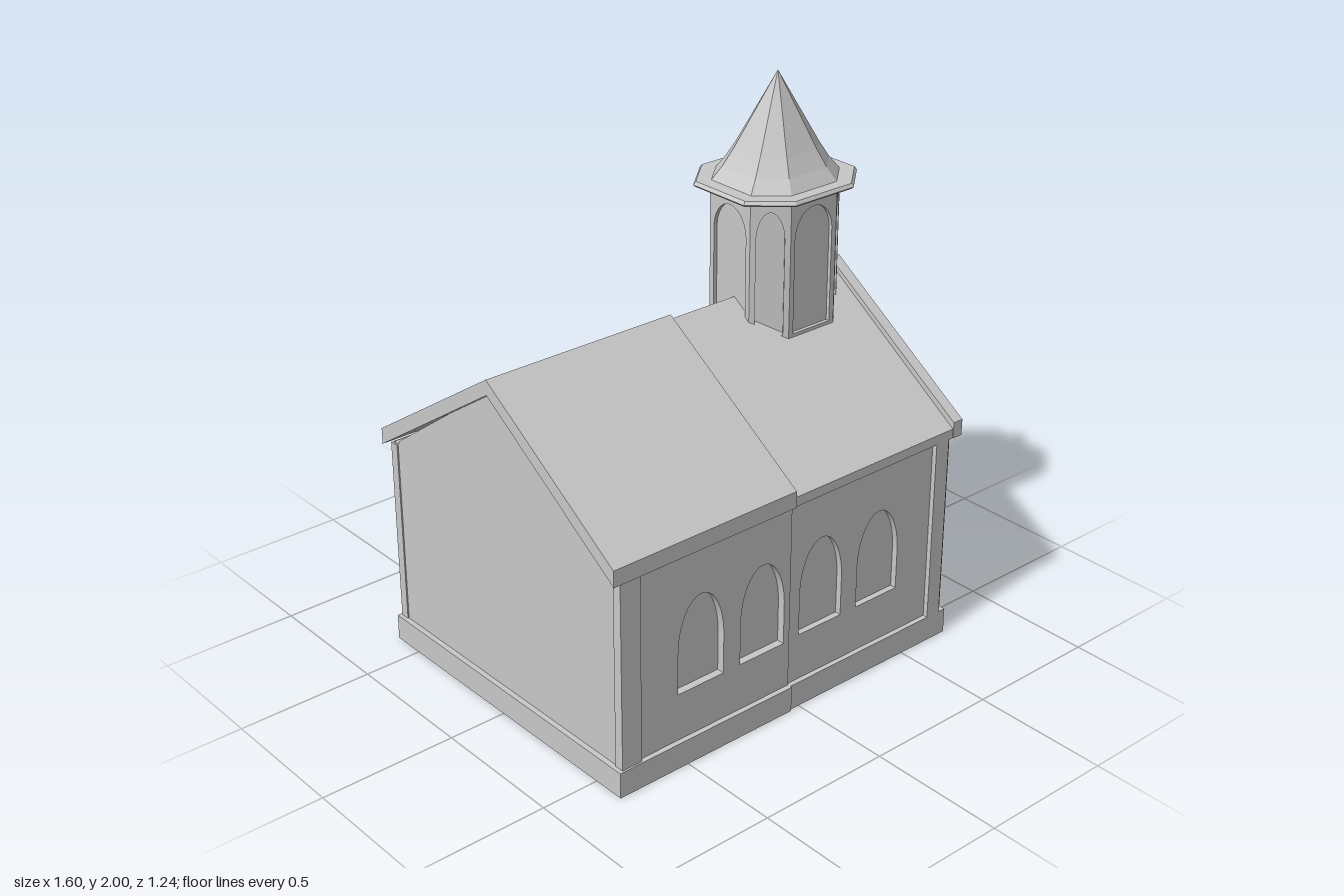
import * as THREE from 'three';

const stone = new THREE.MeshStandardMaterial({ color: 0xc8c8c8 });
stone.name = 'pale grey stone';

export function createModel() {
  const model = new THREE.Group();
  model.name = 'chapel';

  const add = (name, geometry) => {
    const mesh = new THREE.Mesh(geometry, stone);
    mesh.name = name;
    model.add(mesh);
    return mesh;
  };
  // box from its limits on each axis
  const block = (name, x0, x1, y0, y1, z0, z1) =>
    add(name, new THREE.BoxGeometry(x1 - x0, y1 - y0, z1 - z0)
      .translate((x0 + x1) / 2, (y0 + y1) / 2, (z0 + z1) / 2));
  const polygon = (pts) => new THREE.Shape(pts.map(([x, y]) => new THREE.Vector2(x, y)));
  const extrude = (shape, depth) =>
    new THREE.ExtrudeGeometry(shape, { depth, bevelEnabled: false, curveSegments: 20 });
  // cross-section drawn in (-z, y), swept along x
  const alongX = (name, shape, x0, x1) =>
    add(name, extrude(shape, x1 - x0).rotateY(Math.PI / 2).translate(x0, 0, 0));
  // round-headed opening
  const arch = (cx, half, bottom, spring, top) => {
    const path = new THREE.Path();
    path.moveTo(cx - half, bottom);
    path.lineTo(cx + half, bottom);
    path.lineTo(cx + half, spring);
    path.absellipse(cx, spring, half, top - spring, 0, Math.PI, false);
    path.closePath();
    return path;
  };
  const gable = (half, y0, eave, apex) =>
    polygon([[-half, y0], [half, y0], [half, eave], [0, apex], [-half, eave]]);
  const chevron = (half, y0, eave, apex) =>
    polygon([[-half, y0], [0, apex - 0.055], [half, y0], [half, eave], [0, apex], [-half, eave]]);

  // Plinth in two slightly different halves, and entrance steps
  block('rearPlinth', -0.785, -0.04, 0, 0.095, -0.622, 0.622);
  block('frontPlinth', -0.04, 0.715, 0, 0.095, -0.615, 0.615);
  block('upperStep', 0.7, 0.745, 0, 0.1, -0.248, 0.243);
  block('lowerStep', 0.7, 0.8, 0, 0.05, -0.248, 0.243);

  // Inner body
  alongX('body', gable(0.575, 0.05, 0.8, 1.215), -0.765, 0.655);

  // Long walls with recessed windows, on both sides
  const halves = [
    { name: 'rear', x0: -0.765, x1: -0.04, z: 0.603, windows: [-0.43, -0.163] },
    { name: 'front', x0: -0.04, x1: 0.7, z: 0.597, windows: [0.107, 0.375] },
  ];
  for (const { name, x0, x1, z, windows } of halves) {
    const shape = polygon([[x0, 0.05], [x1, 0.05], [x1, 0.79], [x0, 0.79]]);
    shape.holes = windows.map((cx) => arch(cx, 0.097, 0.27, 0.42, 0.61));
    const depth = z - 0.57;
    add(name + 'LeftWall', extrude(shape, depth).translate(0, 0, 0.57));
    add(name + 'RightWall', extrude(shape, depth).translate(0, 0, -z));
  }
  for (const s of [-1, 1]) {
    const zs = [0.58 * s, 0.615 * s].sort((a, b) => a - b);
    block('rearSidePilaster', -0.77, -0.69, 0.09, 0.785, ...zs);
    block('frontSidePilaster', 0.625, 0.685, 0.095, 0.785, ...zs);
  }

  // Entrance gable: wall with door recess and round window
  const front = gable(0.59, 0.05, 0.8, 1.215);
  front.holes.push(arch(0, 0.245, 0.11, 0.33, 0.6));
  const round = new THREE.Path();
  round.absarc(0, 0.932, 0.105, 0, Math.PI * 2, false);
  front.holes.push(round);
  alongX('entranceWall', front, 0.65, 0.685);

  // Raised corners, tall pilasters, door columns and frieze
  for (const s of [-1, 1]) {
    alongX('gableCorner',
      polygon([[0.6 * s, 0.09], [0.44 * s, 0.09], [0.44 * s, 0.915], [0.6 * s, 0.8]]), 0.67, 0.704);
    const inner = s > 0 ? 0.362 : 0.385;
    const pz = [inner * s, 0.445 * s].sort((a, b) => a - b);
    block('gablePilaster', 0.67, 0.712, 0.09, 0.908, ...pz);
    const cz = [0.245 * s, 0.288 * s].sort((a, b) => a - b);
    block('doorColumn', 0.67, 0.702, 0.09, 0.7, ...cz);
  }
  block('frieze', 0.67, 0.718, 0.71, 0.735, -0.385, 0.362);

  // Roof in two halves, with a raised coping on the entrance gable
  alongX('rearRoof', chevron(0.622, 0.785, 0.845, 1.256), -0.8, -0.04);
  alongX('frontRoof', chevron(0.617, 0.785, 0.82, 1.24), -0.04, 0.72);
  alongX('gableCoping', chevron(0.62, 0.785, 0.845, 1.26), 0.7, 0.742);

  // Bell tower: flat-sided octagon, corners as (x, z)
  const corners = [[0.207, 0.1], [0.105, 0.19], [-0.105, 0.19], [-0.207, 0.1],
    [-0.207, -0.1], [-0.105, -0.19], [0.105, -0.19], [0.207, -0.1]];
  const cx = 0.437, cz = -0.01;
  // stacked octagon rings given as [scale, y], closed below and above
  const octagonLoft = (name, rings) => {
    const p = [];
    const at = ([k, y], i) => [cx + corners[i % 8][0] * k, y, cz + corners[i % 8][1] * k];
    const all = [[0, rings[0][1]], ...rings, [0, rings[rings.length - 1][1]]];
    for (let r = 0; r < all.length - 1; r++) {
      for (let i = 0; i < 8; i++) {
        const a = at(all[r], i), b = at(all[r], i + 1);
        const c = at(all[r + 1], i + 1), d = at(all[r + 1], i);
        if (all[r][0] > 0) p.push(...a, ...c, ...b);
        if (all[r + 1][0] > 0) p.push(...a, ...d, ...c);
      }
    }
    const geometry = new THREE.BufferGeometry();
    geometry.setAttribute('position', new THREE.Float32BufferAttribute(p, 3));
    geometry.computeVertexNormals();
    add(name, geometry);
  };
  octagonLoft('towerCore', [[0.93, 1.0], [0.93, 1.625]]);

  // Tower walls, one arched recess on each face
  const thick = 0.02;
  corners.forEach(([ax, az], i) => {
    const [bx, bz] = corners[(i + 1) % 8];
    const width = Math.hypot(bx - ax, bz - az), h = width / 2;
    const nx = (bz - az) / width, nz = -(bx - ax) / width;
    const shape = polygon([[-h, 1.0], [h, 1.0], [h, 1.625], [-h, 1.625]]);
    shape.holes.push(arch(0, h - 0.02, 1.13, 1.47, 1.575));
    const wall = add('towerWall', extrude(shape, thick).translate(0, 0, -thick));
    wall.position.set(cx + (ax + bx) / 2, 0, cz + (az + bz) / 2);
    wall.rotation.y = Math.atan2(nx, nz);
  });

  // Eave and flared spire
  octagonLoft('towerEave', [[1.23, 1.615], [1.26, 1.622], [1.22, 1.634]]);
  octagonLoft('spire', [[1.0, 1.63], [0.82, 1.68], [0.65, 1.74], [0, 2.0]]);

  return model;
}
